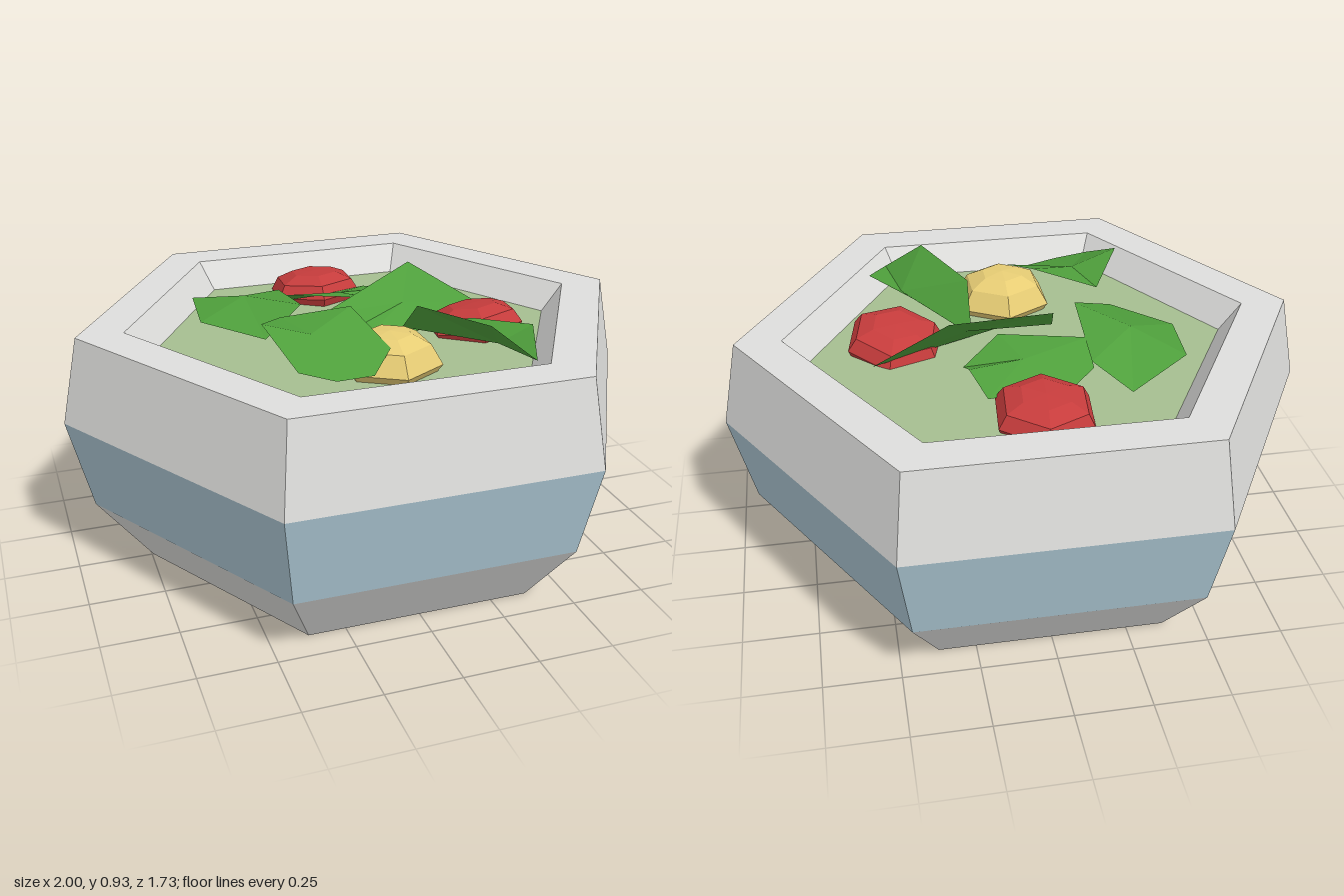
import * as THREE from 'three';

const mat = (name, color, open = true) => new THREE.MeshStandardMaterial({
  name, color, flatShading: true, side: open ? THREE.DoubleSide : THREE.FrontSide,
});

export function createModel() {
  const group = new THREE.Group();
  const stone = mat('pale stone', 0xdededc);
  const blue = mat('blue glaze', 0xacc7d3);
  const broth = mat('green broth', 0xa5be90);
  const leafGreen = mat('leaf green', 0x4fa03c);
  const red = mat('tomato red', 0xc63c3c, false);
  const yellow = mat('yellow', 0xe6cc74, false);

  const add = (name, geometry, material, parent = group) => {
    const mesh = new THREE.Mesh(geometry, material);
    mesh.name = name;
    parent.add(mesh);
    return mesh;
  };

  // Six-sided solid or shell from [radius, height] points
  const hexLathe = (points, start = 0) =>
    new THREE.LatheGeometry(points.map(p => new THREE.Vector2(...p)), 6, start);

  // Bowl: open thin shell with a corner on each end of the x axis
  const bowl = new THREE.Group();
  bowl.name = 'bowl';
  group.add(bowl);
  const corner = Math.PI / 6;
  add('bowlBase', hexLathe([[0.745, 0], [0.925, 0.23]], corner), stone, bowl);
  add('bowlBand', hexLathe([[0.925, 0.23], [1, 0.54]], corner), blue, bowl);
  add('bowlRim', hexLathe([[1, 0.54], [0.94, 0.83], [0.785, 0.83], [0.71, 0.735]], corner), stone, bowl);
  add('broth', hexLathe([[0.71, 0.735], [0, 0.735]], corner), broth, bowl);

  // Faceted vegetables resting in the broth
  const tomato = [[0, -0.065], [0.14, -0.06], [0.172, 0], [0.145, 0.045], [0.085, 0.07], [0, 0.073]];
  [
    { p: [-0.005, 0.75, -0.455], r: [-0.08, -0.09, 0.03] },
    { p: [0.41, 0.75, 0.08], r: [-0.14, -0.2, 0.1] },
  ].forEach(({ p, r }) => {
    const mesh = add('tomato', hexLathe(tomato), red);
    mesh.position.set(...p);
    mesh.rotation.set(...r);
  });
  const corn = add('yellowVegetable',
    hexLathe([[0, -0.08], [0.13, -0.06], [0.175, 0], [0.135, 0.065], [0.075, 0.095], [0, 0.102]]), yellow);
  corn.position.set(0, 0.76, 0.335);

  // Crumpled leaf: a fan from a centre point to its outline, [x, y, z]
  const leaf = (name, centre, rim) => {
    const corners = rim.flatMap((p, i) => [centre, rim[(i + 1) % rim.length], p]);
    const geometry = new THREE.BufferGeometry();
    geometry.setAttribute('position', new THREE.Float32BufferAttribute(corners.flat(), 3));
    geometry.computeVertexNormals();
    add(name, geometry, leafGreen);
  };
  leaf('leftLeaf', [-0.35, 0.86, -0.15], [
    [-0.5, 0.82, -0.3], [-0.3, 0.76, -0.4], [-0.19, 0.82, -0.29],
    [-0.2, 0.87, 0.03], [-0.35, 0.8, 0.13], [-0.52, 0.81, -0.07]]);
  leaf('frontLeaf', [-0.25, 0.87, 0.31], [
    [-0.3, 0.87, 0.13], [-0.09, 0.915, 0.22], [-0.03, 0.84, 0.43], [-0.11, 0.79, 0.51],
    [-0.24, 0.8, 0.54], [-0.35, 0.83, 0.51], [-0.41, 0.925, 0.32]]);
  leaf('rightLeaf', [0.36, 0.79, 0.38], [
    [0.15, 0.76, 0.06], [0.33, 0.83, 0.23], [0.47, 0.85, 0.4],
    [0.4, 0.8, 0.58], [0.27, 0.905, 0.51], [0.14, 0.89, 0.22]]);
  leaf('middleLeaf', [0.18, 0.82, -0.02], [
    [-0.13, 0.83, 0.04], [0.25, 0.92, -0.155], [0.5, 0.76, -0.1],
    [0.19, 0.74, 0.07], [0, 0.76, 0.12], [-0.14, 0.75, 0.11]]);
  leaf('backLeaf', [0.02, 0.81, -0.22], [
    [-0.2, 0.79, -0.28], [-0.12, 0.76, -0.34], [0.16, 0.77, -0.38], [0.2, 0.8, -0.24],
    [0.21, 0.77, -0.17], [0.08, 0.83, -0.075], [-0.2, 0.84, -0.165]]);

  return group;
}
